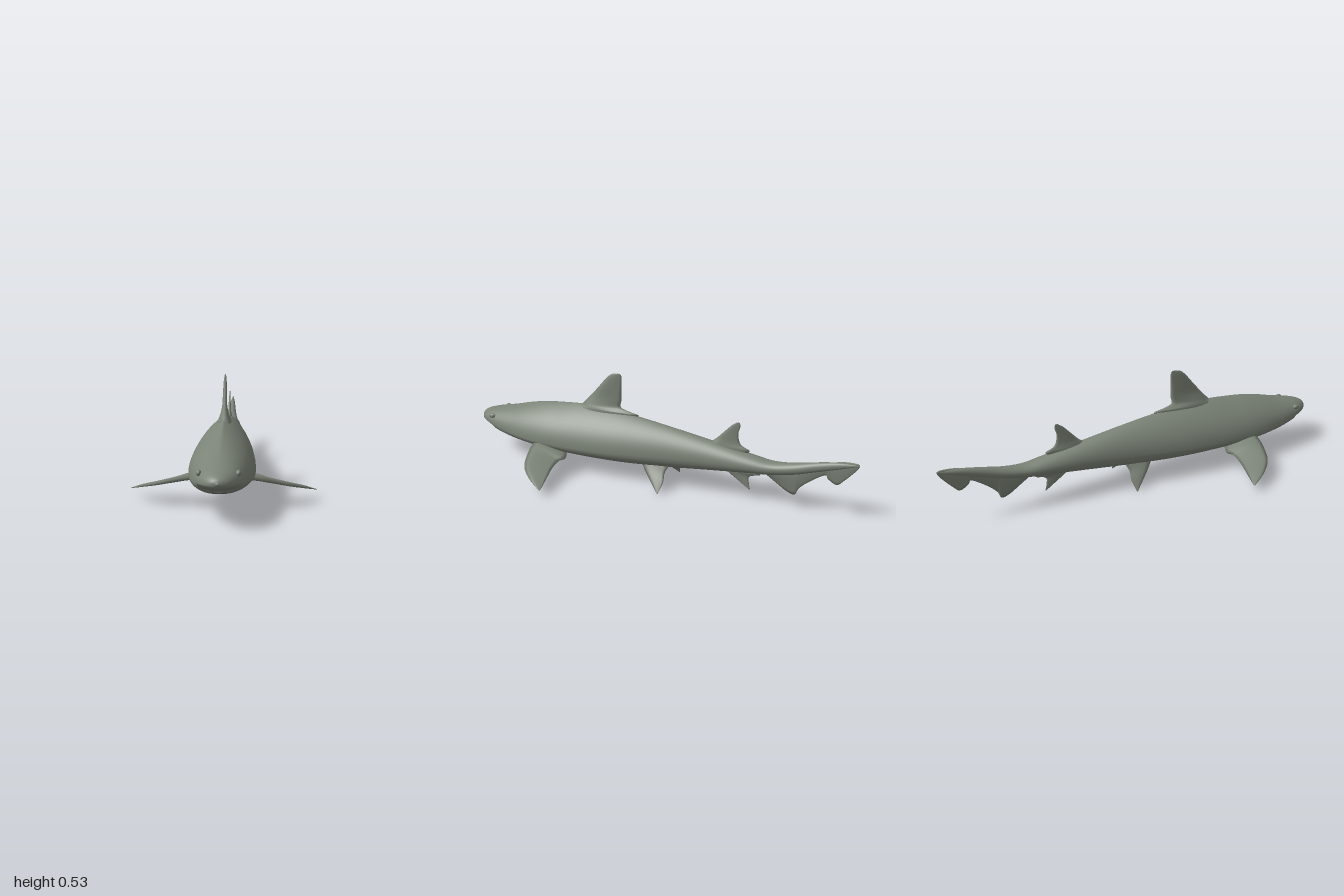
import * as THREE from 'three';

const skin = new THREE.MeshStandardMaterial({ color: 0x7b8377, side: THREE.DoubleSide });
skin.name = 'greyGreenSkin';
const dark = new THREE.MeshStandardMaterial({ color: 0x4a4f48 });
dark.name = 'darkMouth';

const V = (x, y, z) => new THREE.Vector3(x, y, z);
const spline = (pts) => new THREE.CatmullRomCurve3(pts, false, 'catmullrom', 0.5);

// Joins closed rings of equal length into a smooth skin
function loft(rings) {
  const n = rings[0].length, pos = [], idx = [];
  rings.forEach((r) => r.forEach((p) => pos.push(p.x, p.y, p.z)));
  for (let i = 0; i < rings.length - 1; i++) {
    for (let j = 0; j < n; j++) {
      const a = i * n + j, b = i * n + ((j + 1) % n);
      idx.push(a, a + n, b, b, a + n, b + n);
    }
  }
  const g = new THREE.BufferGeometry();
  g.setAttribute('position', new THREE.Float32BufferAttribute(pos, 3));
  g.setIndex(idx);
  g.computeVertexNormals();
  return g;
}

// Body stations: z, top y, bottom y, half width, widest y, upper roundness
const stations = [
  [1.0, 0.192, 0.188, 0.002, 0.19, 1],
  [0.99, 0.208, 0.172, 0.03, 0.187, 1],
  [0.965, 0.222, 0.163, 0.056, 0.183, 1],
  [0.92, 0.236, 0.152, 0.08, 0.18, 1],
  [0.9, 0.24, 0.144, 0.087, 0.177, 1],
  [0.88, 0.246, 0.127, 0.093, 0.173, 1.05],
  [0.8, 0.268, 0.113, 0.113, 0.163, 1.2],
  [0.7, 0.298, 0.104, 0.131, 0.156, 1.4],
  [0.6, 0.32, 0.098, 0.141, 0.152, 1.55],
  [0.5, 0.333, 0.093, 0.143, 0.152, 1.65],
  [0.4, 0.342, 0.089, 0.14, 0.153, 1.7],
  [0.25, 0.342, 0.087, 0.13, 0.158, 1.7],
  [0.1, 0.328, 0.091, 0.113, 0.165, 1.55],
  [-0.1, 0.302, 0.106, 0.086, 0.178, 1.35],
  [-0.3, 0.272, 0.129, 0.066, 0.19, 1.2],
  [-0.5, 0.241, 0.154, 0.052, 0.195, 1.1],
  [-0.6, 0.228, 0.165, 0.041, 0.198, 1],
  [-0.7, 0.24, 0.184, 0.029, 0.213, 1],
  [-0.8, 0.264, 0.216, 0.02, 0.241, 1],
  [-0.9, 0.284, 0.25, 0.013, 0.268, 1],
  [-1.0, 0.291, 0.283, 0.002, 0.287, 1],
];

function bodyGeometry() {
  const c1 = spline(stations.map((s) => V(s[0], s[1], s[2])));
  const c2 = spline(stations.map((s) => V(s[3], s[4], s[5])));
  const rings = [], steps = 100, sides = 48;
  for (let i = 0; i <= steps; i++) {
    const a = c1.getPoint(i / steps), b = c2.getPoint(i / steps), ring = [];
    for (let j = 0; j < sides; j++) {
      const t = (j / sides) * Math.PI * 2, c = Math.cos(t), s = Math.sin(t);
      const x = Math.sign(c) * Math.abs(c) ** (s > 0 ? b.z : 0.85) * b.x;
      ring.push(V(x, b.y + s * (s > 0 ? a.y - b.y : b.y - a.z), a.x));
    }
    rings.push(ring);
  }
  return loft(rings);
}

// Fin rows: [leading point, trailing point, half thickness], from root to tip
function finGeometry(rows, normal) {
  const lead = spline(rows.map((r) => V(...r[0])));
  const trail = spline(rows.map((r) => V(...r[1])));
  const thick = spline(rows.map((r) => V(r[2], 0, 0)));
  const rings = [], steps = rows.length * 4, half = 8;
  for (let i = 0; i <= steps; i++) {
    const k = i / steps, a = lead.getPoint(k), b = trail.getPoint(k);
    const h = Math.max(thick.getPoint(k).x, 0.0005), ring = [];
    for (let j = 0; j < half * 2; j++) {
      const up = j < half, u = (up ? j : half * 2 - j) / half;
      const w = 2.6 * Math.sqrt(u) * (1 - u) * h * (up ? 1 : -1);
      ring.push(a.clone().lerp(b, u).addScaledVector(normal, w));
    }
    rings.push(ring);
  }
  return loft(rings);
}

// Median fins use compact rows: [y, leading z, trailing z, half thickness]
const median = (rows) => rows.map(([y, l, t, h]) => [[0, y, l], [0, y, t], h]);

export function createModel() {
  const shark = new THREE.Group();
  shark.name = 'shark';
  const add = (name, geometry, material = skin) => {
    const m = new THREE.Mesh(geometry, material);
    m.name = name;
    shark.add(m);
    return m;
  };
  const side = V(1, 0, 0);

  add('body', bodyGeometry());

  add('dorsalFin', finGeometry(median([
    [0.3, 0.45, 0.14, 0.034], [0.332, 0.42, 0.085, 0.03], [0.343, 0.4, 0.13, 0.027],
    [0.36, 0.382, 0.182, 0.02], [0.4, 0.345, 0.178, 0.011], [0.45, 0.302, 0.178, 0.009],
    [0.5, 0.26, 0.176, 0.007], [0.524, 0.232, 0.178, 0.004], [0.532, 0.205, 0.185, 0.001],
  ]), side));

  add('secondDorsalFin', finGeometry(median([
    [0.235, -0.27, -0.46, 0.016], [0.258, -0.28, -0.49, 0.013], [0.275, -0.3, -0.455, 0.01],
    [0.295, -0.325, -0.437, 0.007], [0.335, -0.362, -0.43, 0.005], [0.37, -0.395, -0.438, 0.003],
    [0.39, -0.422, -0.436, 0.001],
  ]), side));

  add('analFin', finGeometry(median([
    [0.165, -0.35, -0.54, 0.014], [0.145, -0.37, -0.545, 0.01], [0.128, -0.39, -0.495, 0.007],
    [0.095, -0.44, -0.492, 0.004], [0.06, -0.493, -0.5, 0.001],
  ]), side));

  // Tail fin runs along the tail with top and bottom edges: [z, top, bottom, half thickness]
  add('tailFin', finGeometry([
    [-0.56, 0.2, 0.165, 0.02], [-0.63, 0.208, 0.12, 0.016], [-0.675, 0.22, 0.092, 0.012],
    [-0.715, 0.232, 0.082, 0.01], [-0.735, 0.24, 0.12, 0.009], [-0.78, 0.252, 0.163, 0.008],
    [-0.848, 0.272, 0.21, 0.007], [-0.865, 0.276, 0.194, 0.006], [-0.905, 0.288, 0.174, 0.005],
    [-0.94, 0.295, 0.205, 0.004], [-0.985, 0.297, 0.258, 0.003], [-1, 0.292, 0.283, 0.001],
  ].map(([z, t, b, h]) => [[0, t, z], [0, b, z], h]), side));

  for (const [label, s] of [['left', 1], ['right', -1]]) {
    add(label + 'PectoralFin', finGeometry([
      [[s * 0.08, 0.142, 0.62], [s * 0.1, 0.108, 0.44], 0.02],
      [[s * 0.14, 0.138, 0.612], [s * 0.155, 0.1, 0.418], 0.016],
      [[s * 0.2, 0.124, 0.602], [s * 0.185, 0.093, 0.44], 0.012],
      [[s * 0.3, 0.095, 0.565], [s * 0.25, 0.082, 0.437], 0.009],
      [[s * 0.365, 0.07, 0.5], [s * 0.33, 0.066, 0.421], 0.006],
      [[s * 0.412, 0.044, 0.415], [s * 0.41, 0.043, 0.408], 0.001],
    ], V(s * 0.25, 0.95, -0.17).normalize()));

    add(label + 'PelvicFin', finGeometry([
      [[s * 0.045, 0.125, 0.05], [s * 0.05, 0.12, -0.1], 0.012],
      [[s * 0.07, 0.09, 0.022], [s * 0.07, 0.088, -0.087], 0.009],
      [[s * 0.098, 0.052, -0.02], [s * 0.095, 0.056, -0.092], 0.006],
      [[s * 0.12, 0.022, -0.055], [s * 0.117, 0.026, -0.086], 0.003],
      [[s * 0.133, 0.003, -0.075], [s * 0.132, 0.004, -0.08], 0.001],
    ], V(s * 0.8, 0.6, 0).normalize()));

    // Eye with a low brow
    const eye = add(label + 'Eye', new THREE.SphereGeometry(0.014, 20, 14));
    eye.position.set(s * 0.077, 0.215, 0.9);
    eye.scale.set(0.75, 0.9, 1.25);
  }

  // Mouth line curving back under the snout
  const mouthPath = spline([
    V(-0.052, 0.142, 0.872), V(-0.03, 0.138, 0.889), V(0, 0.136, 0.893),
    V(0.03, 0.138, 0.889), V(0.052, 0.142, 0.872),
  ]);
  add('mouth', new THREE.TubeGeometry(mouthPath, 24, 0.004, 8), dark);
  return shark;
}
